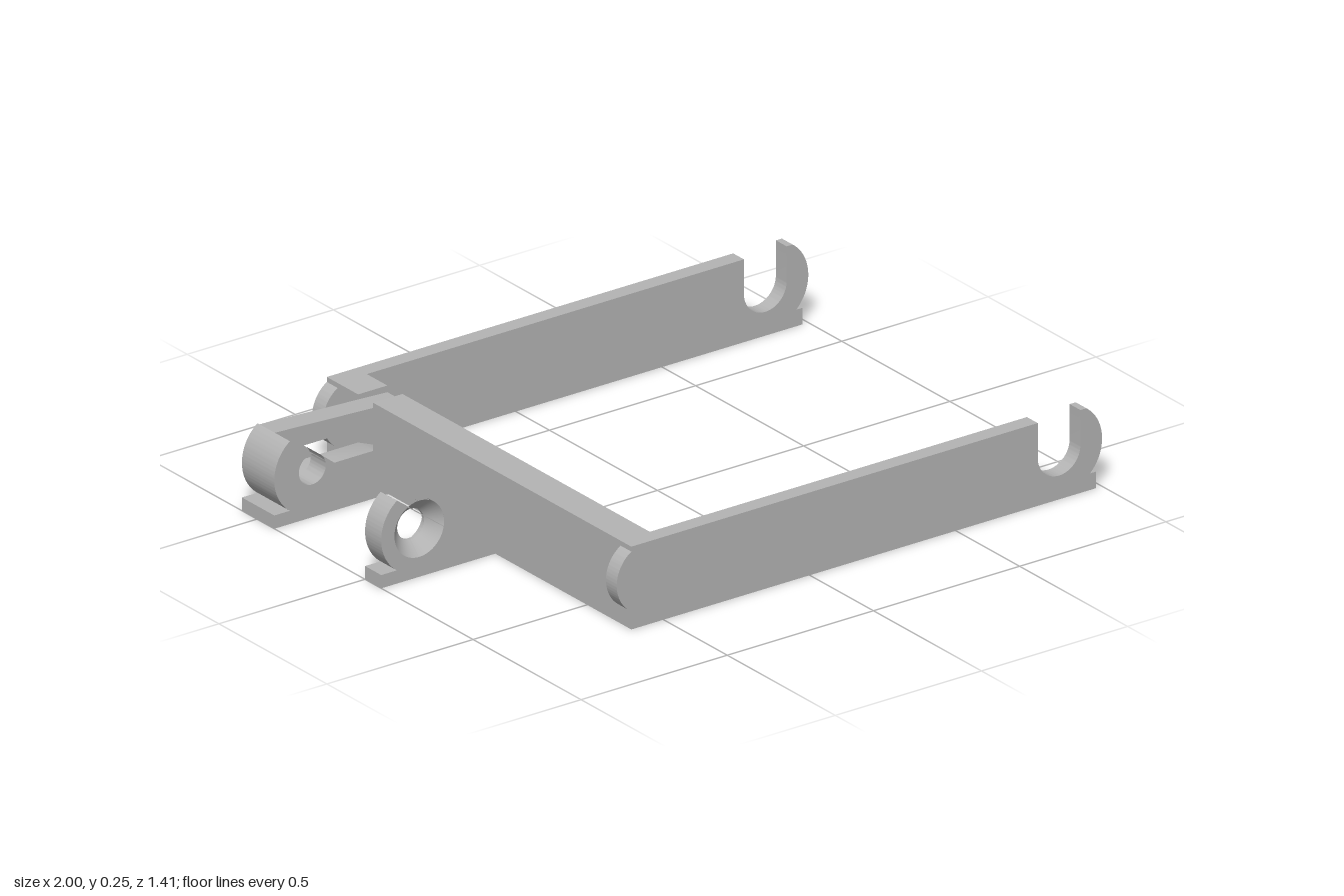
import * as THREE from 'three';
import { toCreasedNormals } from 'three/addons/utils/BufferGeometryUtils.js';

const H = 0.25, CY = 0.145, R = 0.13, PIN = -0.87;
const INNER = -0.51, OUTER = -0.61;

export function createModel() {
  const model = new THREE.Group();
  model.name = 'bracket';
  const grey = new THREE.MeshStandardMaterial({ color: 0xb4b4b4 });
  grey.name = 'plain grey';

  const add = (parent, name, geometry) => {
    const mesh = new THREE.Mesh(geometry, grey);
    mesh.name = name;
    parent.add(mesh);
    return mesh;
  };
  // Side profile in x/y, extruded between two z positions
  const slab = (parent, name, shape, z0, z1) => {
    const geo = new THREE.ExtrudeGeometry(shape, { depth: z1 - z0, bevelEnabled: false, curveSegments: 32 });
    geo.translate(0, 0, z0);
    return add(parent, name, toCreasedNormals(geo, 0.5));
  };
  const circle = (r) => new THREE.Path().absarc(PIN, CY, r, 0, Math.PI * 2, true);

  // Side arm: rounded rear tab, open hook and foot at the far end
  const arm = new THREE.Shape();
  const foot = Math.atan2(0.05 - CY, Math.sqrt(R * R - 0.095 ** 2));
  const tip = Math.asin((H - CY) / R);
  const tab = Math.acos(0.056 / 0.106);
  arm.moveTo(OUTER, 0);
  arm.lineTo(0.98, 0);
  arm.lineTo(0.98, 0.05);
  arm.absarc(0.87, CY, R, foot, tip, false);
  arm.lineTo(0.926, H);
  arm.absarc(0.853, CY, 0.073, 0, Math.PI, true);
  arm.lineTo(0.78, H);
  arm.lineTo(OUTER, H);
  arm.absarc(-0.554, CY, 0.106, Math.PI - tab, Math.PI + tab, false);
  slab(model, 'frontArm', arm, 0.655, 0.705);
  slab(model, 'backArm', arm, -0.705, -0.655);

  // Cross bar, interrupted where the channel passes through it
  for (const [z0, z1] of [[-0.655, -0.56], [-0.49, 0.655]]) {
    const bar = add(model, 'crossBar', new THREE.BoxGeometry(INNER - OUTER, H, z1 - z0));
    bar.position.set((INNER + OUTER) / 2, H / 2, (z0 + z1) / 2);
  }

  // Lug outline: rounded nose with a small foot; cuts are added by callbacks
  const lug = (right, bottomCut, rightCut) => {
    const s = new THREE.Shape();
    const a = Math.PI - Math.asin((H - CY) / R);
    s.moveTo(right, H);
    s.absarc(PIN, CY, R, a, 2 * Math.PI - a, false);
    s.lineTo(-1, 0.04);
    s.lineTo(-1, 0);
    if (bottomCut) bottomCut(s);
    s.lineTo(right, 0);
    if (rightCut) rightCut(s);
    return s;
  };
  const drilled = (r) => {
    const s = lug(OUTER);
    s.holes.push(circle(r));
    return s;
  };

  // Back lug: pin hole joined to a flared channel through the cross bar
  const backLug = new THREE.Group();
  backLug.name = 'backLug';
  model.add(backLug);
  const channel = lug(INNER, null, (s) => {
    const a = Math.asin(0.04 / 0.046);
    s.lineTo(INNER, 0.065);
    s.lineTo(OUTER, CY - 0.04);
    s.absarc(PIN, CY, 0.046, -a, -2 * Math.PI + a, true);
    s.lineTo(OUTER, CY + 0.04);
    s.lineTo(INNER, 0.23);
  });
  slab(backLug, 'lugOuterWall', drilled(0.046), -0.57, -0.56);
  slab(backLug, 'lugChannel', channel, -0.56, -0.49);
  slab(backLug, 'lugInnerWall', drilled(0.046), -0.49, -0.42);

  // Front lug: keyhole recess behind, countersunk hole in front
  const frontLug = new THREE.Group();
  frontLug.name = 'frontLug';
  model.add(frontLug);
  const keyhole = lug(OUTER, (s) => {
    const a = Math.asin(0.03 / 0.065);
    s.lineTo(PIN - 0.03, 0);
    s.absarc(PIN, CY, 0.065, -Math.PI / 2 - a, -2.5 * Math.PI + a, true);
    s.lineTo(PIN + 0.03, 0);
  });
  slab(frontLug, 'keyholeRecess', keyhole, 0, 0.025);
  slab(frontLug, 'pinWall', drilled(0.046), 0.025, 0.035);
  slab(frontLug, 'countersinkWall', drilled(0.085), 0.035, 0.075);
  const cone = new THREE.CylinderGeometry(0.085, 0.046, 0.04, 48, 1, true);
  cone.rotateX(Math.PI / 2);
  // Reverse the winding so the cone shows its inside
  const idx = cone.index;
  for (let i = 0; i < idx.count; i += 3) {
    const b = idx.getX(i + 1);
    idx.setX(i + 1, idx.getX(i + 2));
    idx.setX(i + 2, b);
  }
  cone.computeVertexNormals();
  add(frontLug, 'countersink', cone).position.set(PIN, CY, 0.055);

  return model;
}
